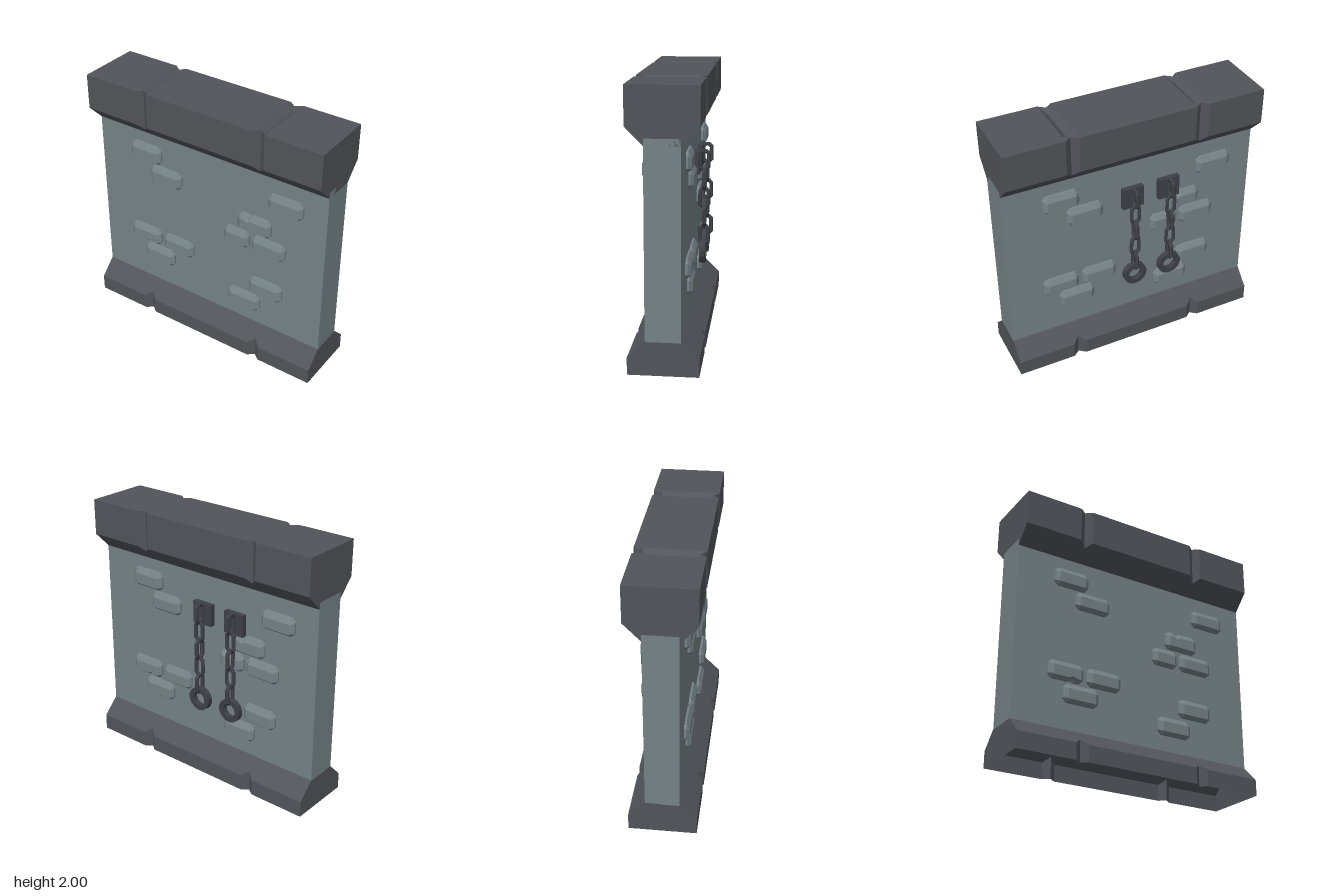
import * as THREE from 'three';

const trimMat = new THREE.MeshStandardMaterial({ color: 0x515459, side: THREE.DoubleSide });
trimMat.name = 'dark stone';
const wallMat = new THREE.MeshStandardMaterial({ color: 0x758286 });
wallMat.name = 'grey stone';
const ironMat = new THREE.MeshStandardMaterial({ color: 0x3d4045 });
ironMat.name = 'iron';

// Flat-shaded skin over a row of matching cross-sections, with optional end caps
function loft(rings, { closed = true, startCap = false, endCap = false } = {}) {
  const pos = [];
  const tri = (a, b, c) => pos.push(...a, ...b, ...c);
  const n = rings[0].length;
  for (let r = 0; r < rings.length - 1; r++) {
    const a = rings[r], b = rings[r + 1];
    for (let i = 0; i < (closed ? n : n - 1); i++) {
      const j = (i + 1) % n;
      tri(a[i], a[j], b[j]);
      tri(a[i], b[j], b[i]);
    }
  }
  const cap = (ring, flip) => {
    const c = [0, 1, 2].map(k => ring.reduce((s, p) => s + p[k], 0) / n);
    ring.forEach((p, i) => {
      const q = ring[(i + 1) % n];
      flip ? tri(c, q, p) : tri(c, p, q);
    });
  };
  if (startCap) cap(rings[0], true);
  if (endCap) cap(rings[rings.length - 1], false);
  const g = new THREE.BufferGeometry();
  g.setAttribute('position', new THREE.Float32BufferAttribute(pos, 3));
  g.computeVertexNormals();
  return g;
}

function add(parent, name, geometry, material, x = 0, y = 0, z = 0) {
  const m = new THREE.Mesh(geometry, material);
  m.name = name;
  m.position.set(x, y, z);
  parent.add(m);
  return m;
}

// Trim beam along x; the joint section forms V grooves at x = -0.5 and 0.5
function trim(plain, joint, closed) {
  const at = (x, prof) => prof.map(([y, z]) => [x, y, z]);
  const rings = [at(-1, plain)];
  for (const x of [-0.5, 0.5]) rings.push(at(x - 0.05, plain), at(x, joint), at(x + 0.05, plain));
  rings.push(at(1, plain));
  return loft(rings, { closed, startCap: true, endCap: true });
}

// Mirrors half a profile of [y, z] points from back to front
const mirrored = half => [...half, ...half.slice().reverse().map(([y, z]) => [y, -z])];

// Raised brick with cut corners, a sloped rim and an optional chip (+1 top, -1 bottom)
function brick(x0, x1, y0, y1, chip = 0, chipX = 0) {
  const ring = (z, side, top, bottom, cut, dent) => {
    const l = x0 + side, r = x1 - side, t = y1 - top, b = y0 + bottom;
    const c = chip ? chipX : (x0 + x1) / 2, w = 0.033;
    const dt = chip > 0 ? dent : 0, db = chip < 0 ? dent : 0;
    return [
      [l + cut, b], [c - w, b], [c, b + db], [c + w, b], [r - cut, b], [r, b + cut],
      [r, t - cut], [r - cut, t], [c + w, t], [c, t - dt], [c - w, t], [l + cut, t],
      [l, t - cut], [l, b + cut],
    ].map(([x, y]) => [x, y, z]);
  };
  return loft([
    ring(0.12, 0, 0, 0, 0.03, 0),
    ring(0.14, 0, 0.004, 0.002, 0.03, 0.025),
    ring(0.165, 0.032, 0.046, 0.022, 0.003, 0.015),
  ], { endCap: true });
}

const BRICKS = [
  [-0.70, -0.42, 1.36, 1.51], [-0.52, -0.235, 1.205, 1.35], [0.53, 0.815, 1.34, 1.485],
  [0.275, 0.56, 1.085, 1.235, 1, 0.37], [0.155, 0.375, 0.925, 1.07], [0.40, 0.685, 0.925, 1.07],
  [-0.73, -0.445, 0.61, 0.755, -1, -0.54], [-0.415, -0.135, 0.61, 0.755],
  [-0.605, -0.32, 0.45, 0.595], [0.385, 0.67, 0.54, 0.69], [0.195, 0.48, 0.37, 0.515],
];

// Eight-sided ring stretched into a long link
function linkGeometry() {
  let g = new THREE.TorusGeometry(0.034, 0.016, 6, 8).rotateZ(Math.PI / 8);
  const p = g.attributes.position;
  for (let i = 0; i < p.count; i++) p.setY(i, p.getY(i) + Math.sign(p.getY(i)) * 0.037);
  g = g.toNonIndexed();
  g.computeVertexNormals();
  return g;
}

// Square-edged shackle ring facing z
function shackleGeometry() {
  const i = 0.056, o = 0.095, d = 0.022;
  const prof = [[i, -d], [o, -d], [o, d], [i, d], [i, -d]].map(p => new THREE.Vector2(...p));
  const g = new THREE.LatheGeometry(prof, 14).rotateX(Math.PI / 2).toNonIndexed();
  g.computeVertexNormals();
  return g;
}

function chain(x, link, shackle) {
  const g = new THREE.Group();
  g.name = 'hangingChain';
  g.position.x = x;
  add(g, 'wallPlate', new THREE.BoxGeometry(0.17, 0.17, 0.045), ironMat, 0, 1.305, 0.1425);
  for (let i = 0; i < 5; i++) {
    const m = add(g, 'chainLink', link, ironMat, 0, 1.32 - i * 0.145, 0.197);
    if (i % 2 === 0) m.rotation.y = Math.PI / 2;
  }
  add(g, 'shackleRing', shackle, ironMat, 0, 0.61, 0.188);
  return g;
}

export function createModel() {
  const model = new THREE.Group();
  model.name = 'stoneWall';

  add(model, 'wallPanel', new THREE.BoxGeometry(2, 1.405, 0.25), wallMat, 0, 0.9475, 0);

  // Base trim is a shell open underneath
  add(model, 'baseTrim', trim(
    mirrored([[0, -0.25], [0.125, -0.25], [0.25, -0.125]]),
    mirrored([[0, -0.21], [0.165, -0.21], [0.25, -0.125]]), false), trimMat);
  add(model, 'topTrim', trim(
    mirrored([[1.6, -0.125], [1.727, -0.25], [2, -0.25], [2, -0.19]]),
    mirrored([[1.6, -0.125], [1.686, -0.21], [2, -0.21], [1.96, -0.175]]), true), trimMat);

  // Both faces carry the same bricks; the back is turned half round
  for (const side of ['front', 'back']) {
    const face = new THREE.Group();
    face.name = side + 'Face';
    for (const b of BRICKS) add(face, 'brick', brick(...b), wallMat);
    if (side === 'back') {
      face.rotation.y = Math.PI;
      const link = linkGeometry(), shackle = shackleGeometry();
      for (const x of [0, 0.295]) face.add(chain(x, link, shackle));
    }
    model.add(face);
  }
  return model;
}
